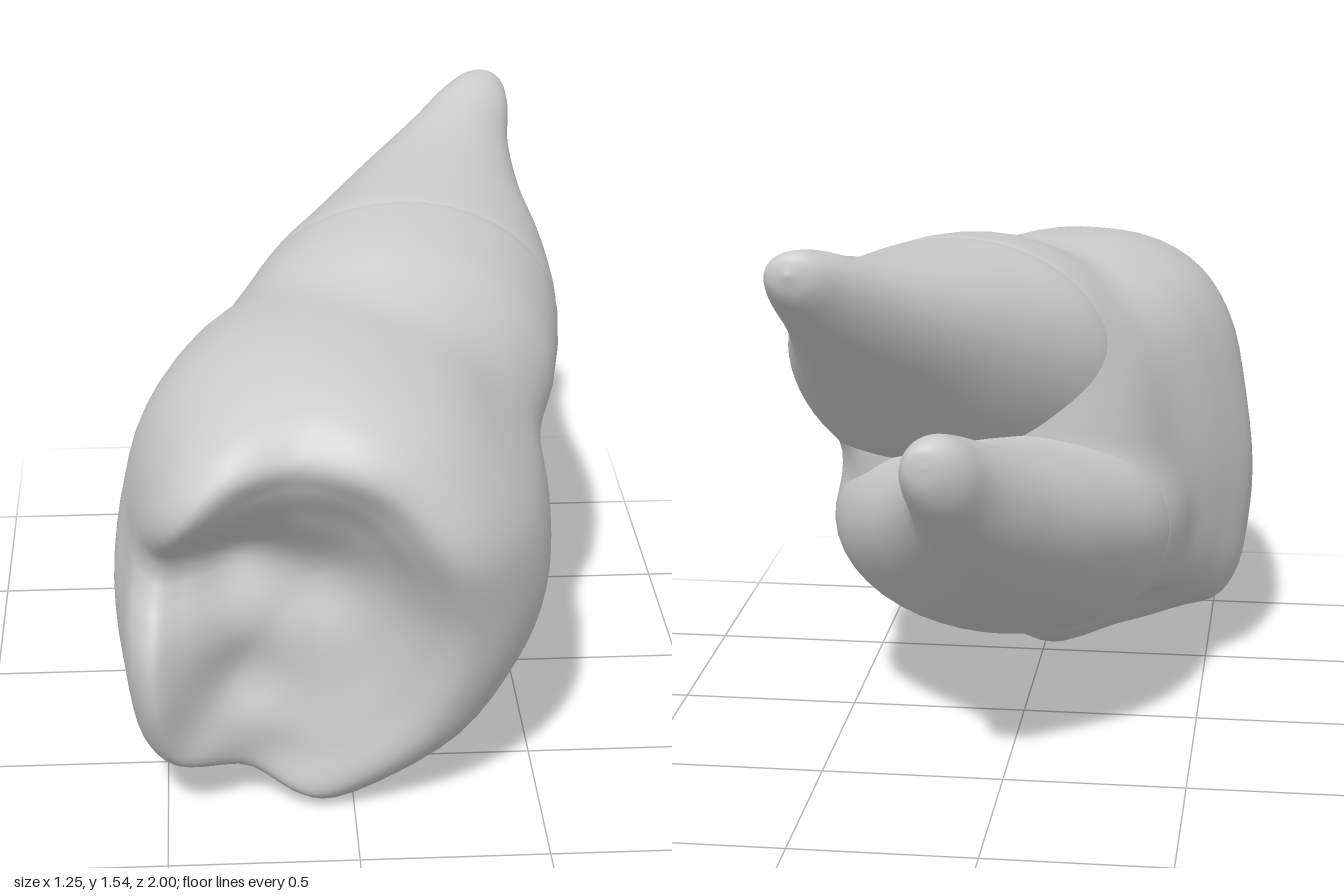
import * as THREE from 'three';
import { mergeVertices } from 'three/addons/utils/BufferGeometryUtils.js';

const SIDES = 72;
const { smoothstep: smooth, lerp } = THREE.MathUtils;

// Roots as rows of [z, xMin, xMax, yMin, yMax], from inside the crown to the tip
const UPPER_ROOT = [
  [0.5, -0.2, 0.45, 0.65, 1.25],
  [0.3, -0.28, 0.54, 0.62, 1.335],
  [0.1, -0.32, 0.595, 0.64, 1.39],
  [-0.1, -0.26, 0.62, 0.71, 1.415],
  [-0.3, -0.12, 0.605, 0.85, 1.43],
  [-0.5, 0.04, 0.56, 1.04, 1.45],
  [-0.7, 0.22, 0.54, 1.22, 1.49],
  [-0.82, 0.335, 0.55, 1.345, 1.53],
  [-0.88, 0.405, 0.535, 1.42, 1.53],
  [-0.9, 0.48, 0.48, 1.48, 1.48],
];
const LOWER_ROOT = [
  [0.5, -0.42, 0.45, 0.22, 0.9],
  [0.3, -0.46, 0.51, 0.185, 0.93],
  [0.1, -0.46, 0.535, 0.215, 0.95],
  [-0.1, -0.42, 0.525, 0.27, 0.93],
  [-0.3, -0.36, 0.43, 0.39, 0.91],
  [-0.5, -0.275, 0.31, 0.52, 0.945],
  [-0.7, -0.14, 0.22, 0.67, 1.01],
  [-0.85, -0.03, 0.205, 0.8, 1.075],
  [-0.95, 0.025, 0.2, 0.9, 1.1],
  [-0.99, 0.08, 0.18, 0.97, 1.08],
  [-1, 0.13, 0.13, 1.03, 1.03],
];
// Axis shared by crown and roots
const AXIS = { x: 0.08, y: 0.88 };

// Grooves (negative) and cusps (positive) of the chewing face: [x, y, radius, height]
const RELIEF = [
  [-0.54, 0.76, 0.12, -0.13],
  [-0.32, 0.77, 0.13, -0.11],
  [-0.1, 0.7, 0.14, -0.07],
  [-0.3, 0.4, 0.13, -0.05],
  [-0.28, 0.13, 0.11, -0.065],
  [-0.15, 1.18, 0.12, -0.06],
  [-0.38, 0.96, 0.12, 0.04],
  [-0.5, 0.4, 0.17, 0.045],
  [0.25, 0.87, 0.2, 0.05],
];

// Resample a closed outline and normalise it to the unit box.
function unitOutline(points) {
  const curve = new THREE.CatmullRomCurve3(points.map(([x, y]) => new THREE.Vector3(x, y, 0)), true);
  const ring = curve.getPoints(SIDES).slice(0, SIDES);
  const box = new THREE.Box3().setFromPoints(ring);
  const size = box.getSize(new THREE.Vector3());
  return ring.map((p) => [(p.x - box.min.x) / size.x, (p.y - box.min.y) / size.y]);
}

// Loft an outline through rows, front to back.
function loft(outline, rows, steps, deform) {
  const positions = [];
  const index = [];
  for (const [u, v] of outline) {
    const strand = new THREE.CatmullRomCurve3(rows.map(([z, x0, x1, y0, y1]) =>
      new THREE.Vector3(lerp(x0, x1, u), lerp(y0, y1, v), z)));
    for (let i = 0; i <= steps; i++) {
      const p = strand.getPoint(i / steps);
      deform(p);
      positions.push(p.x, p.y, p.z);
    }
  }
  const n = steps + 1;
  for (let j = 0; j < SIDES; j++) {
    const k = (j + 1) % SIDES;
    for (let i = 0; i < steps; i++) {
      const a = j * n + i, b = k * n + i;
      index.push(a, a + 1, b, b, a + 1, b + 1);
    }
  }
  let geometry = new THREE.BufferGeometry();
  geometry.setAttribute('position', new THREE.Float32BufferAttribute(positions, 3));
  geometry.setIndex(index);
  geometry = mergeVertices(geometry, 1e-4);
  geometry.computeVertexNormals();
  return geometry;
}

// Distance from the axis, along (dx, dy), to the surface of a root at depth z.
function rootReach(rows, z, dx, dy) {
  const i = Math.max(1, rows.findIndex((row) => row[0] <= z));
  const t = THREE.MathUtils.clamp((rows[i - 1][0] - z) / (rows[i - 1][0] - rows[i][0]), 0, 1);
  const before = rows[Math.max(0, i - 2)], after = rows[i + 1];
  const [, x0, x1, y0, y1] = rows[i].map((q, c) => {
    const p = rows[i - 1][c];
    const m0 = (q - before[c]) / 2, m1 = (after[c] - p) / 2;
    return p + t * (m0 + t * (3 * (q - p) - 2 * m0 - m1 + t * (2 * (p - q) + m0 + m1)));
  });
  const rx = (x1 - x0) / 2, ry = (y1 - y0) / 2;
  const ox = (AXIS.x - (x0 + x1) / 2) / rx, oy = (AXIS.y - (y0 + y1) / 2) / ry;
  const ax = dx / rx, ay = dy / ry;
  const a = ax * ax + ay * ay, b = ox * ax + oy * ay, c = ox * ox + oy * oy - 1;
  const disc = b * b - a * c;
  return disc < 0 ? 0 : Math.max(0, (Math.sqrt(disc) - b) / a);
}

function smoothMax(a, b, k) {
  const h = Math.max(k - Math.abs(a - b), 0);
  return Math.max(a, b) + (h * h) / (4 * k);
}

// Swell the trunk over the root beginnings, then tilt and carve the chewing face.
function shapeCrown(p) {
  const z = p.z;
  const dx = p.x - AXIS.x, dy = p.y - AXIS.y;
  const r = Math.hypot(dx, dy);
  const blend = smooth(z, -0.29, -0.08) * (1 - smooth(z, 0.15, 0.5));
  if (blend > 0 && r > 1e-4) {
    const roots = smoothMax(rootReach(UPPER_ROOT, z, dx / r, dy / r),
      rootReach(LOWER_ROOT, z, dx / r, dy / r), 0.16);
    const grow = lerp(1, smoothMax(r, roots, 0.04) / r, blend);
    p.x = AXIS.x + dx * grow;
    p.y = AXIS.y + dy * grow;
  }
  const { x, y } = p;
  p.z += 0.2 * (y - 0.75) * smooth(z, 0.2, 0.8);
  const weight = smooth(z, 0.4, 0.8);
  for (const [cx, cy, radius, height] of RELIEF) {
    p.z += weight * height * Math.exp(-((x - cx) ** 2 + (y - cy) ** 2) / (radius * radius));
  }
}

// Tuck the beginning of a root under the trunk.
function tuckRoot(p) {
  const scale = 1 - 0.05 * smooth(p.z, -0.14, 0.1);
  p.x = AXIS.x + (p.x - AXIS.x) * scale;
  p.y = AXIS.y + (p.y - AXIS.y) * scale;
}

export function createModel() {
  const group = new THREE.Group();
  const material = new THREE.MeshStandardMaterial({ color: 0xcccccc, roughness: 0.7 });
  const add = (name, geometry) => {
    const mesh = new THREE.Mesh(geometry, material);
    mesh.name = name;
    group.add(mesh);
  };

  const crownOutline = unitOutline([
    [0.54, 0.7], [0.5, 0.9], [0.4, 1.06], [0.27, 1.2], [0.1, 1.28], [-0.1, 1.31],
    [-0.3, 1.28], [-0.45, 1.19], [-0.54, 1.05], [-0.59, 0.85], [-0.62, 0.6], [-0.61, 0.4],
    [-0.58, 0.25], [-0.52, 0.165], [-0.4, 0.13], [-0.25, 0.09], [-0.1, 0.02], [0, 0],
    [0.2, 0.09], [0.38, 0.23], [0.48, 0.4], [0.53, 0.55],
  ]);
  const oval = Array.from({ length: SIDES }, (_, i) => {
    const a = (i / SIDES) * Math.PI * 2;
    return [0.5 + 0.5 * Math.cos(a), 0.5 + 0.5 * Math.sin(a)];
  });

  // Crown: sunken basin, rim, outer wall, then the trunk closing between the roots
  add('crown', loft(crownOutline, [
    [0.79, -0.1, -0.1, 0.69, 0.69],
    [0.795, -0.2, 0, 0.56, 0.81],
    [0.825, -0.33, 0.1, 0.37, 0.94],
    [0.88, -0.45, 0.19, 0.19, 1.04],
    [0.92, -0.53, 0.29, 0.06, 1.12],
    [0.87, -0.58, 0.4, 0.01, 1.19],
    [0.72, -0.61, 0.5, 0, 1.26],
    [0.5, -0.625, 0.54, 0.06, 1.305],
    [0.3, -0.55, 0.54, 0.16, 1.305],
    [0.1, -0.44, 0.52, 0.24, 1.28],
    [-0.1, -0.34, 0.49, 0.37, 1.22],
    [-0.23, -0.17, 0.42, 0.6, 1.1],
    [-0.29, 0.1, 0.1, 0.88, 0.88],
  ], 96, shapeCrown));

  add('upperRoot', loft(oval, UPPER_ROOT.slice(2), 56, tuckRoot));
  add('lowerRoot', loft(oval, LOWER_ROOT.slice(2), 56, tuckRoot));

  return group;
}
